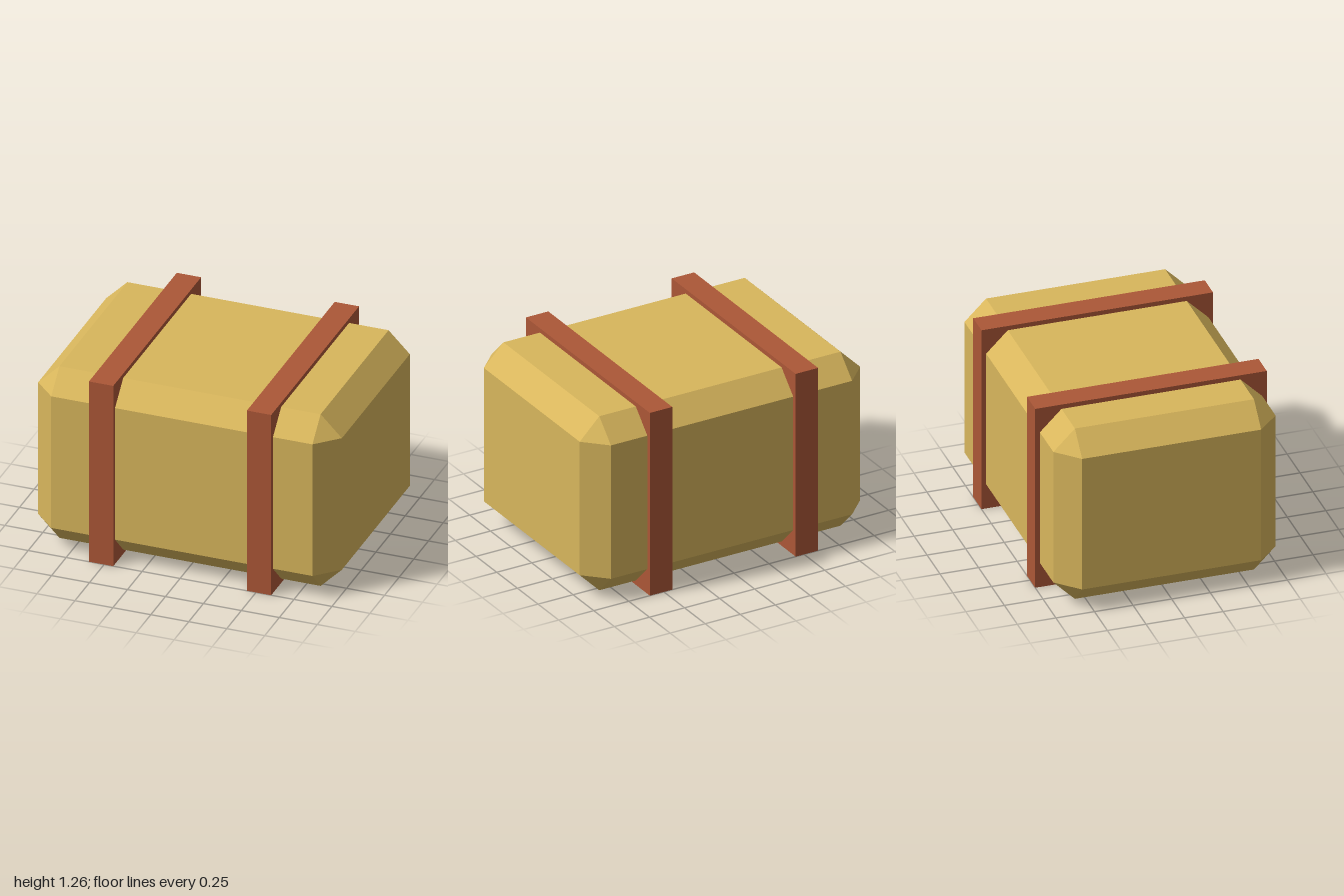
import * as THREE from 'three';
import { ConvexGeometry } from 'three/addons/geometries/ConvexGeometry.js';

// Box with every edge cut at 45 degrees and triangular corners
function chamferedBox(hx, hy, hz, c) {
  const points = [];
  for (const x of [-1, 1]) for (const y of [-1, 1]) for (const z of [-1, 1]) {
    points.push(
      new THREE.Vector3(x * hx, y * (hy - c), z * (hz - c)),
      new THREE.Vector3(x * (hx - c), y * hy, z * (hz - c)),
      new THREE.Vector3(x * (hx - c), y * (hy - c), z * hz)
    );
  }
  return new ConvexGeometry(points);
}

export function createModel() {
  const group = new THREE.Group();
  group.name = 'strappedBale';

  const straw = new THREE.MeshStandardMaterial({ color: 0xd8b65c });
  straw.name = 'straw yellow';
  const leather = new THREE.MeshStandardMaterial({ color: 0xac5737 });
  leather.name = 'strap red brown';

  // Bale body
  const bale = new THREE.Mesh(chamferedBox(1, 0.6, 0.72, 0.14), straw);
  bale.name = 'bale';
  bale.position.y = 0.63;
  group.add(bale);

  // Two square straps around the bale
  for (const [name, side] of [['leftStrap', 1], ['rightStrap', -1]]) {
    const strap = new THREE.Mesh(new THREE.BoxGeometry(0.16, 1.26, 1.5), leather);
    strap.name = name;
    strap.position.set(side * 0.52, 0.63, 0);
    group.add(strap);
  }
  return group;
}
